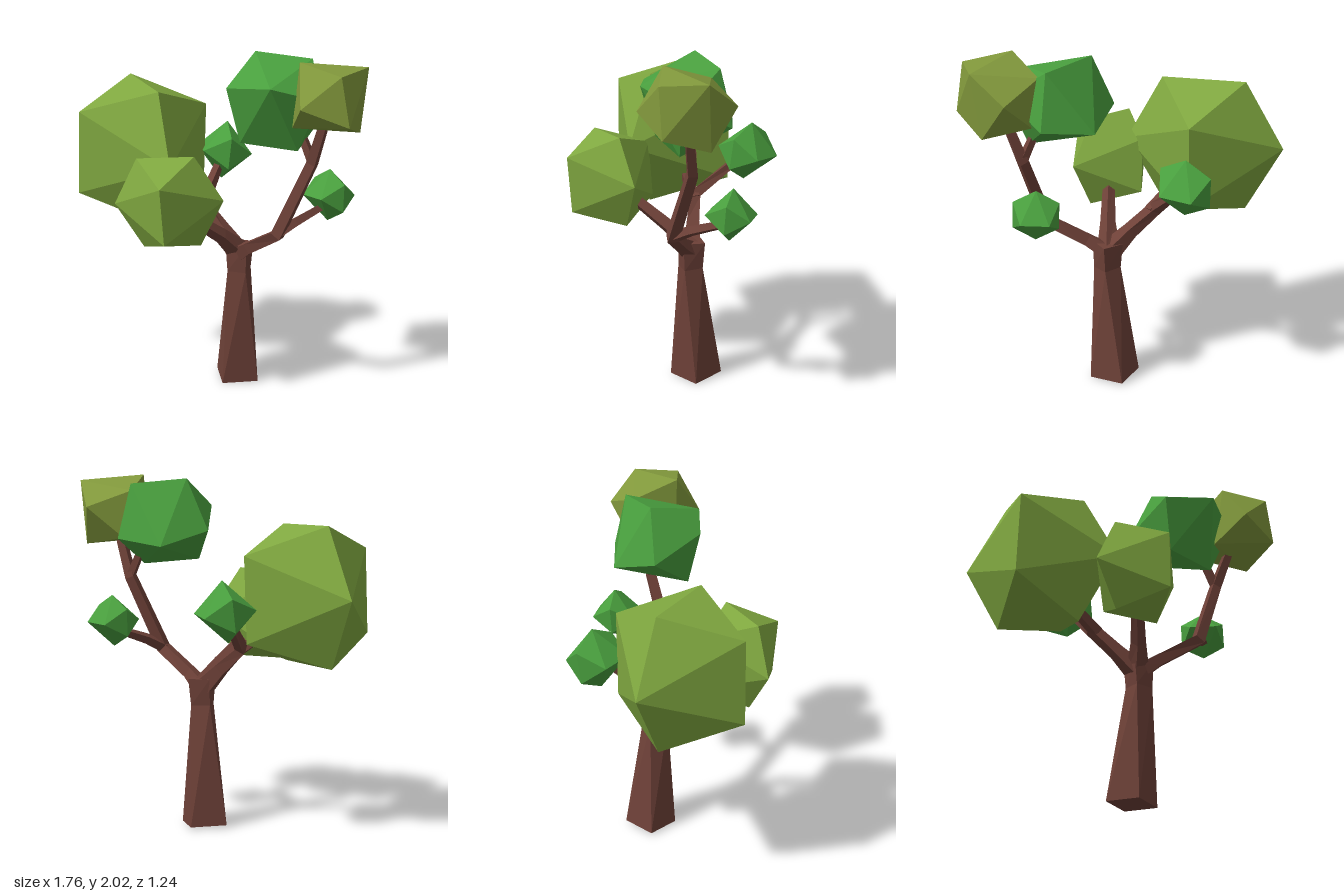
import * as THREE from 'three';
import { ConvexGeometry } from 'three/addons/geometries/ConvexGeometry.js';

const V = (a) => new THREE.Vector3(...a);
const mat = (color) => new THREE.MeshStandardMaterial({ color, flatShading: true });

// Four-sided tapering limb through nodes [x, y, z, radius, twist in degrees]
function limb(nodes) {
  const sides = 4, pos = [], idx = [];
  const pts = nodes.map((n) => V(n));
  nodes.forEach((n, i) => {
    const t = pts[Math.min(i + 1, pts.length - 1)].clone()
      .sub(pts[Math.max(i - 1, 0)]).normalize();
    const a = t.clone().cross(new THREE.Vector3(0, 0, 1)).normalize();
    const b = a.clone().cross(t);
    for (let k = 0; k < sides; k++) {
      const ang = THREE.MathUtils.degToRad(n[4] ?? 45) + (k / sides) * Math.PI * 2;
      const p = pts[i].clone()
        .addScaledVector(a, Math.cos(ang) * n[3])
        .addScaledVector(b, Math.sin(ang) * n[3]);
      pos.push(p.x, Math.max(p.y, 0), p.z);
    }
  });
  for (let i = 0; i < nodes.length - 1; i++) {
    for (let k = 0; k < sides; k++) {
      const l0 = i * sides + k, l1 = i * sides + (k + 1) % sides;
      idx.push(l0, l0 + sides, l1, l1, l0 + sides, l1 + sides);
    }
  }
  const e = (nodes.length - 1) * sides;
  idx.push(0, 1, 2, 0, 2, 3, e, e + 2, e + 1, e, e + 3, e + 2);
  const g = new THREE.BufferGeometry();
  g.setAttribute('position', new THREE.Float32BufferAttribute(pos, 3));
  g.setIndex(idx);
  const flat = g.toNonIndexed();
  flat.computeVertexNormals();
  return flat;
}

// Ten-cornered leaf clump: two poles, a ridge pair above and below, four side corners
function clumpGeometry() {
  const s = 0.526, l = 0.851, pts = [];
  for (const i of [-1, 1]) {
    pts.push(new THREE.Vector3(i, 0, 0));
    for (const j of [-1, 1]) {
      pts.push(new THREE.Vector3(i * s, j * l, 0), new THREE.Vector3(0, i * s, j * l));
    }
  }
  return new ConvexGeometry(pts);
}

export function createModel() {
  const tree = new THREE.Group();
  tree.name = 'tree';
  const bark = mat(0x6e4138);
  const olive = mat(0x80a840), moss = mat(0x82993c), green = mat(0x499f3e);

  // Trunk and branches
  const limbs = {
    trunk: [[0.072, 0.005, -0.105, 0.15, 10], [0.1, 0.7, -0.065, 0.078, 35], [0.1, 0.86, -0.07, 0.09, 40]],
    rightBranch: [[0.1, 0.8, -0.06, 0.06], [0.2, 0.87, 0.0, 0.045], [0.41, 1.0, 0.09, 0.045],
      [0.58, 1.42, 0.01, 0.038], [0.68, 1.72, 0.05, 0.03]],
    rightUpperTwig: [[0.585, 1.42, 0.01, 0.03], [0.5, 1.6, 0, 0.025]],
    rightLowerTwig: [[0.4, 1.0, 0.09, 0.038], [0.48, 1.06, 0.0, 0.033], [0.59, 1.13, -0.17, 0.025]],
    frontBranch: [[0.1, 0.8, -0.08, 0.07], [0.04, 0.93, 0.05, 0.045], [-0.06, 1.08, 0.24, 0.035]],
    backBranch: [[0.09, 0.8, -0.07, 0.07], [-0.03, 0.92, -0.1, 0.048], [-0.17, 1.05, -0.14, 0.042],
      [-0.18, 1.24, -0.38, 0.028]],
    leftTwig: [[-0.14, 1.03, -0.13, 0.04], [-0.38, 1.2, -0.08, 0.03]],
  };
  for (const [name, nodes] of Object.entries(limbs)) {
    const m = new THREE.Mesh(limb(nodes), bark);
    m.name = name;
    tree.add(m);
  }

  // Leaf clumps: name, material, centre, radius, pole direction, ridge direction
  const clump = clumpGeometry();
  const clumps = [
    ['largeLeftLeaves', olive, [-0.53, 1.36, -0.06], 0.463, [0.348, -0.01, 0.31], [0.03, 0.776, 0]],
    ['frontLeaves', olive, [-0.13, 1.197, 0.367], 0.308, [0.3, 0.02, -0.105], [0, 0.505, 0.025]],
    ['topRightLeaves', moss, [0.7, 1.815, 0.06], 0.265, [0.18, 0.165, -0.08], [0.04, 0.08, 0.23]],
    ['topMiddleLeaves', green, [0.355, 1.75, 0], 0.308, [0.085, 0.13, 0.275], [0.325, -0.015, -0.05]],
    ['backLeaves', green, [-0.188, 1.295, -0.455], 0.176, [0.01, 0.163, -0.02], [0.105, 0, 0.13]],
    ['smallRightLeaves', green, [0.6, 1.185, -0.2], 0.15, [0, 0.14, -0.01], [0.12, 0, 0.06]],
  ];
  for (const [name, material, centre, radius, pole, ridge] of clumps) {
    const p = V(pole).normalize();
    const w = p.clone().cross(V(ridge)).normalize();
    const m = new THREE.Mesh(clump, material);
    m.name = name;
    m.position.set(...centre);
    m.quaternion.setFromRotationMatrix(new THREE.Matrix4().makeBasis(p, w.clone().cross(p), w));
    m.scale.setScalar(radius);
    tree.add(m);
  }
  return tree;
}
